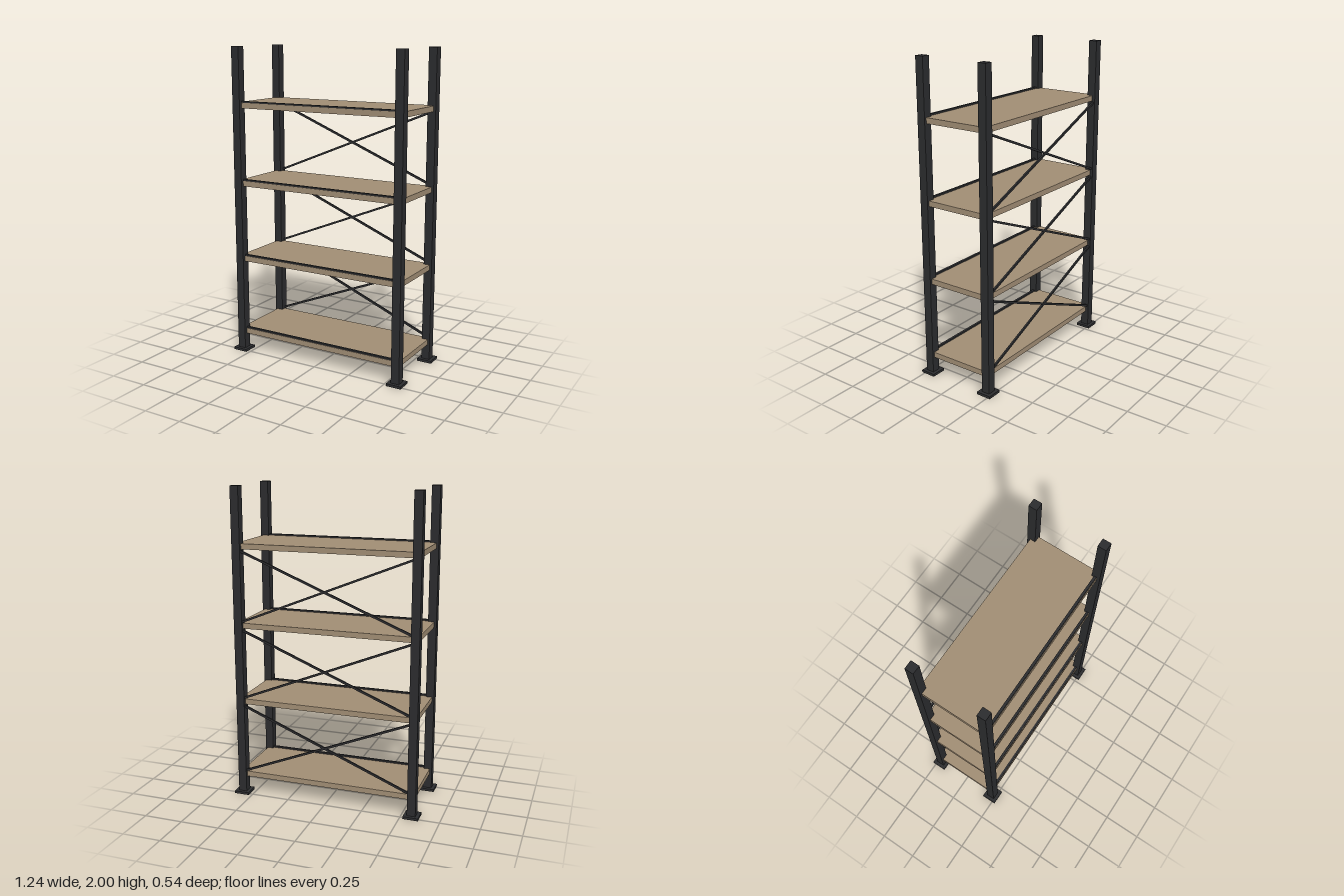
import * as THREE from 'three';

export function createModel() {
  const model = new THREE.Group();
  const metal = new THREE.MeshStandardMaterial({ color: 0x2b2c2e });
  metal.name = 'dark metal';
  const wood = new THREE.MeshStandardMaterial({ color: 0xa08d74 });
  wood.name = 'tan board';

  const POST_X = 0.57, POST_Z = 0.222, HEIGHT = 2;
  const SHELF_TOPS = [0.15, 0.65, 1.15, 1.65], THICK = 0.035;

  function box(name, material, w, h, d, x, y, z) {
    const mesh = new THREE.Mesh(new THREE.BoxGeometry(w, h, d), material);
    mesh.name = name;
    mesh.position.set(x, y, z);
    model.add(mesh);
    return mesh;
  }

  // Four corner posts, each on a square foot plate
  for (const sx of [-1, 1]) {
    for (const sz of [-1, 1]) {
      const corner = `${sz > 0 ? 'front' : 'back'}${sx > 0 ? 'Left' : 'Right'}`;
      box(`${corner}Post`, metal, 0.054, HEIGHT, 0.054, sx * POST_X, HEIGHT / 2, sz * POST_Z);
      box(`${corner}Foot`, metal, 0.098, 0.016, 0.098, sx * POST_X, 0.008, sz * POST_Z);
    }
  }

  SHELF_TOPS.forEach((top, i) => {
    // Board with a low retaining lip along its front edge
    box(`shelf${i + 1}`, wood, 1.166, THICK, 0.458, 0, top - THICK / 2, 0);
    box(`shelfLip${i + 1}`, metal, 2 * POST_X, 0.01, 0.016, 0, top + 0.005, 0.218);

    // Crossed braces between this shelf and the next, at the back
    if (i === SHELF_TOPS.length - 1) return;
    const rise = SHELF_TOPS[i + 1] - THICK - top;
    const run = 2 * POST_X;
    for (const side of [-1, 1]) {
      const brace = box(`backBrace${i + 1}${side > 0 ? 'Up' : 'Down'}`, metal,
        Math.hypot(run, rise), 0.013, 0.012, 0, top + rise / 2, -0.235);
      brace.rotation.z = side * Math.atan2(rise, run);
    }
  });

  return model;
}
